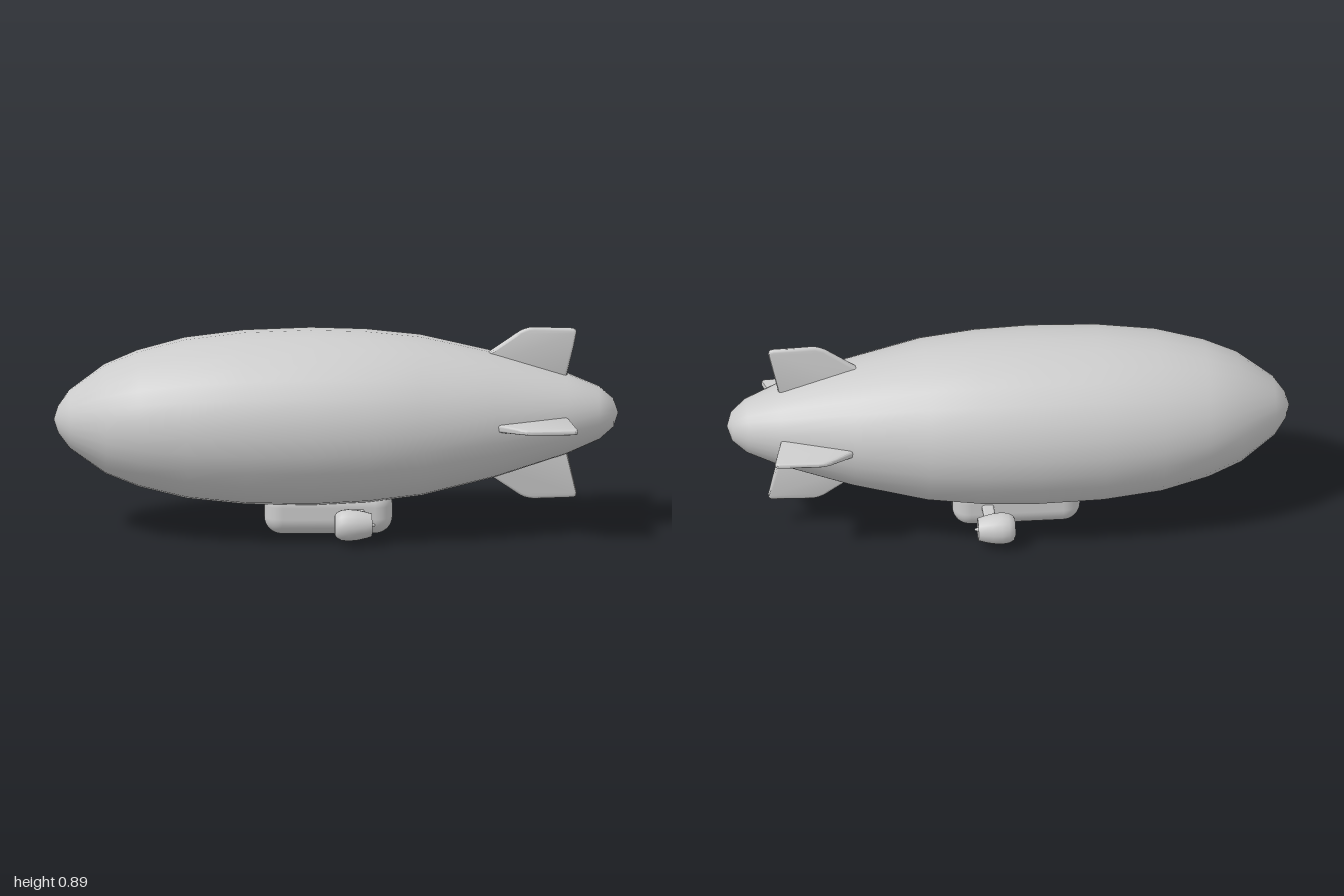
import * as THREE from 'three';
import { toCreasedNormals } from 'three/addons/utils/BufferGeometryUtils.js';
import { RoundedBoxGeometry } from 'three/addons/geometries/RoundedBoxGeometry.js';

const grey = new THREE.MeshStandardMaterial({ color: 0xcccccc });
const MID = -0.033; // sideways offset of the long axis

function add(parent, name, geometry, x = 0, y = 0, z = 0) {
  const mesh = new THREE.Mesh(geometry, grey);
  mesh.name = name;
  mesh.position.set(x, y, z);
  parent.add(mesh);
  return mesh;
}

// Solid of revolution about x; points are [x, radius] from nose to tail
function revolve(points, sides) {
  const profile = points.map(([x, r]) => new THREE.Vector2(r, x));
  return new THREE.LatheGeometry(profile, sides).rotateZ(-Math.PI / 2);
}

// Swept fin standing up from the axis, thinning towards its tip
function finGeometry() {
  const s = new THREE.Shape();
  s.moveTo(0.43, 0.15);
  s.lineTo(0.71, 0.345);
  s.quadraticCurveTo(0.745, 0.372, 0.785, 0.372);
  s.lineTo(0.945, 0.367);
  s.quadraticCurveTo(0.966, 0.366, 0.965, 0.345);
  s.lineTo(0.92, 0.15);
  s.closePath();
  const g = new THREE.ExtrudeGeometry(s, {
    depth: 0.4, bevelThickness: 0.3, bevelSize: 0.012, bevelOffset: -0.012,
    bevelSegments: 2, curveSegments: 4,
  });
  const p = g.attributes.position;
  for (let i = 0; i < p.count; i++) {
    const t = THREE.MathUtils.mapLinear(p.getY(i), 0.15, 0.372, 0.054, 0.02);
    p.setZ(i, (p.getZ(i) - 0.2) * t);
  }
  return toCreasedNormals(g, 0.7);
}

// Ducted engine: intake towards the nose, recessed propeller towards the tail
function engine(side) {
  const g = new THREE.Group();
  g.name = side > 0 ? 'frontEngine' : 'backEngine';
  const shell = revolve([
    [-0.03, 0], [-0.03, 0.024], [-0.053, 0.03], [-0.057, 0.04], [-0.05, 0.053],
    [-0.03, 0.064], [0, 0.068], [0.04, 0.064], [0.075, 0.056], [0.1, 0.048],
    [0.1, 0.04], [0.06, 0.036], [0.06, 0],
  ], 16);
  add(g, 'nacelle', toCreasedNormals(shell, 0.8));
  add(g, 'intakeHub', new THREE.SphereGeometry(0.012, 10, 8), -0.032);
  add(g, 'spinner', revolve([[0.055, 0.017], [0.085, 0.014], [0.112, 0.005], [0.114, 0]], 10));
  for (let i = 0; i < 4; i++) {
    const blade = new THREE.BoxGeometry(0.006, 0.036, 0.014)
      .rotateY(0.5).translate(0.08, 0.022, 0).rotateX(Math.PI / 4 + i * Math.PI / 2);
    add(g, 'propellerBlade', blade);
  }
  // strut reaching back into the cabin
  add(g, 'strut', new RoundedBoxGeometry(0.05, 0.03, 0.15, 2, 0.01), 0.045, 0.018, -side * 0.11);
  g.position.set(0, 0.088, MID + side * 0.228);
  return g;
}

export function createModel() {
  const model = new THREE.Group();
  model.name = 'airship';

  // Envelope: blunt nose at -x, tapering tail at +x, slightly wider than tall
  const hull = revolve([
    [-1.235, 0], [-1.218, 0.055], [-1.17, 0.122], [-1.02, 0.23], [-0.88, 0.287],
    [-0.68, 0.338], [-0.43, 0.366], [-0.15, 0.373], [0.08, 0.364], [0.31, 0.338],
    [0.62, 0.265], [0.925, 0.17], [1.06, 0.112], [1.12, 0.06], [1.14, 0],
  ], 28).scale(1, 1, 1.06);
  add(model, 'envelope', hull, 0, 0.505, MID).rotation.z = 0.008;

  // Four tail fins
  const fin = finGeometry();
  ['topFin', 'frontFin', 'bottomFin', 'backFin'].forEach((name, i) => {
    const mesh = add(model, name, fin, 0, 0.514, MID);
    mesh.rotation.x = i * Math.PI / 2;
    if (i % 2) mesh.scale.y = 0.95;
  });

  // Cabin under the belly, with an engine on each side
  add(model, 'cabin', new RoundedBoxGeometry(0.54, 0.2, 0.18, 5, 0.075), -0.08, 0.1, MID);
  model.add(engine(1), engine(-1));

  // The whole craft lies diagonally
  model.rotation.y = -THREE.MathUtils.degToRad(36);
  const root = new THREE.Group();
  root.add(model);
  return root;
}
